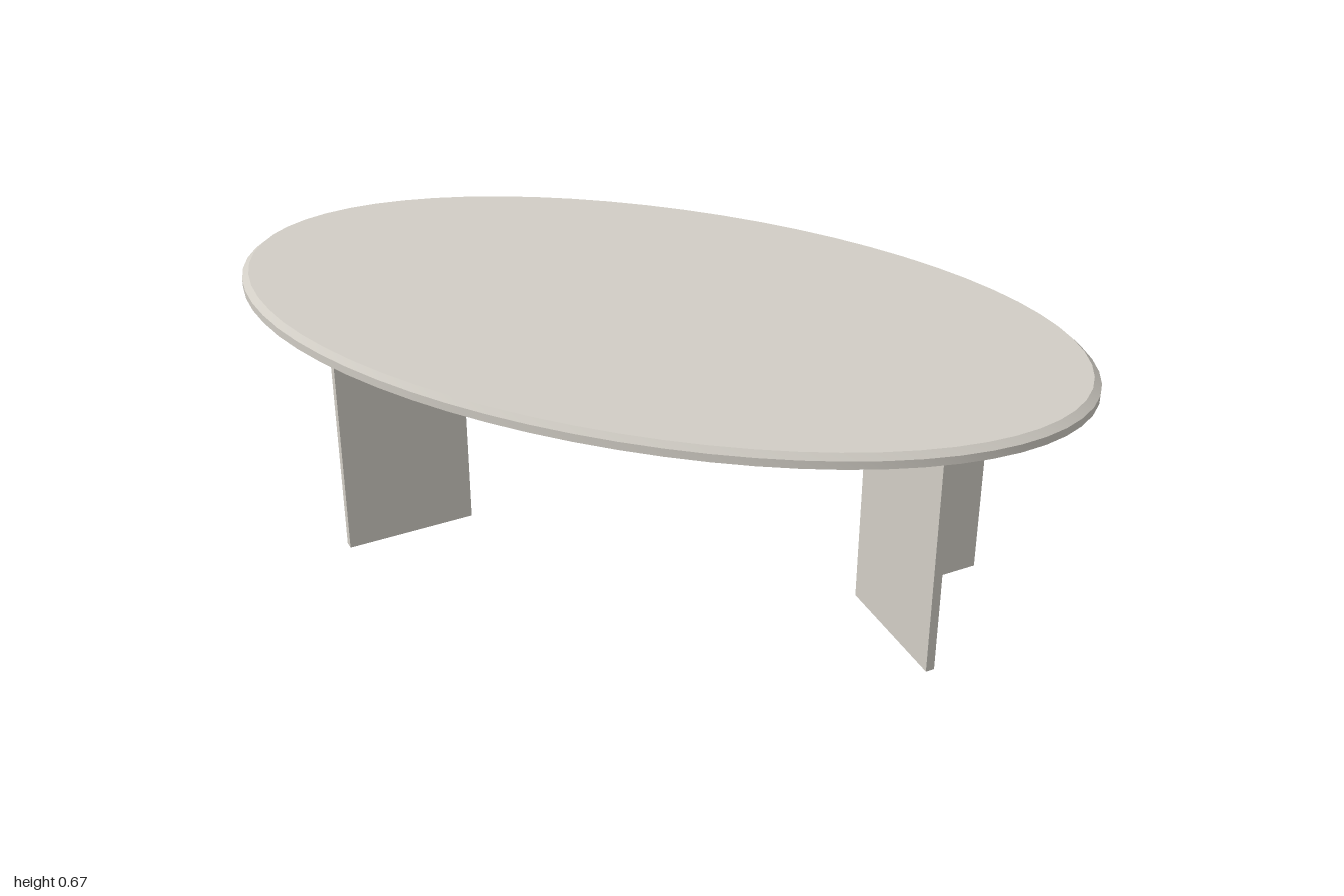
import * as THREE from 'three';
import { toCreasedNormals } from 'three/addons/utils/BufferGeometryUtils.js';

const TOP_Y = 0.673;
const UNDER_Y = 0.633;

// Oval slab with a slightly eased edge
function buildTop(material) {
  const profile = [
    [0, UNDER_Y], [0.985, UNDER_Y], [1, UNDER_Y + 0.005],
    [1, TOP_Y - 0.015], [0.983, TOP_Y], [0, TOP_Y],
  ].map(([r, y]) => new THREE.Vector2(r, y));
  const geometry = new THREE.LatheGeometry(profile, 64);
  geometry.scale(1, 1, 0.507);
  const mesh = new THREE.Mesh(toCreasedNormals(geometry, 0.4), material);
  mesh.name = 'tableTop';
  return mesh;
}

// Two upright boards meeting in a V whose point faces the table's middle
function buildLeg(name, cornerX, direction, material) {
  const reach = 0.222; // corner to tip along each axis
  const cut = 0.015; // board thickness measured along each axis
  const shape = new THREE.Shape([
    [0, 0], [reach, -reach], [reach + cut, -reach + cut],
    [2 * cut, 0], [reach + cut, reach - cut], [reach, reach],
  ].map(([x, y]) => new THREE.Vector2(x, y)));
  const geometry = new THREE.ExtrudeGeometry(shape, { depth: UNDER_Y + 0.002, bevelEnabled: false });
  geometry.rotateX(-Math.PI / 2);
  const leg = new THREE.Mesh(geometry, material);
  leg.name = name;
  leg.position.set(cornerX, 0, -0.008);
  if (direction < 0) leg.rotation.y = Math.PI;
  return leg;
}

export function createModel() {
  const stone = new THREE.MeshStandardMaterial({ color: 0xd2cec6 });
  stone.name = 'warm grey';

  const table = new THREE.Group();
  table.name = 'ovalTable';
  table.add(
    buildTop(stone),
    buildLeg('leftLeg', 0.498, 1, stone),
    buildLeg('rightLeg', -0.48, -1, stone),
  );
  return table;
}
